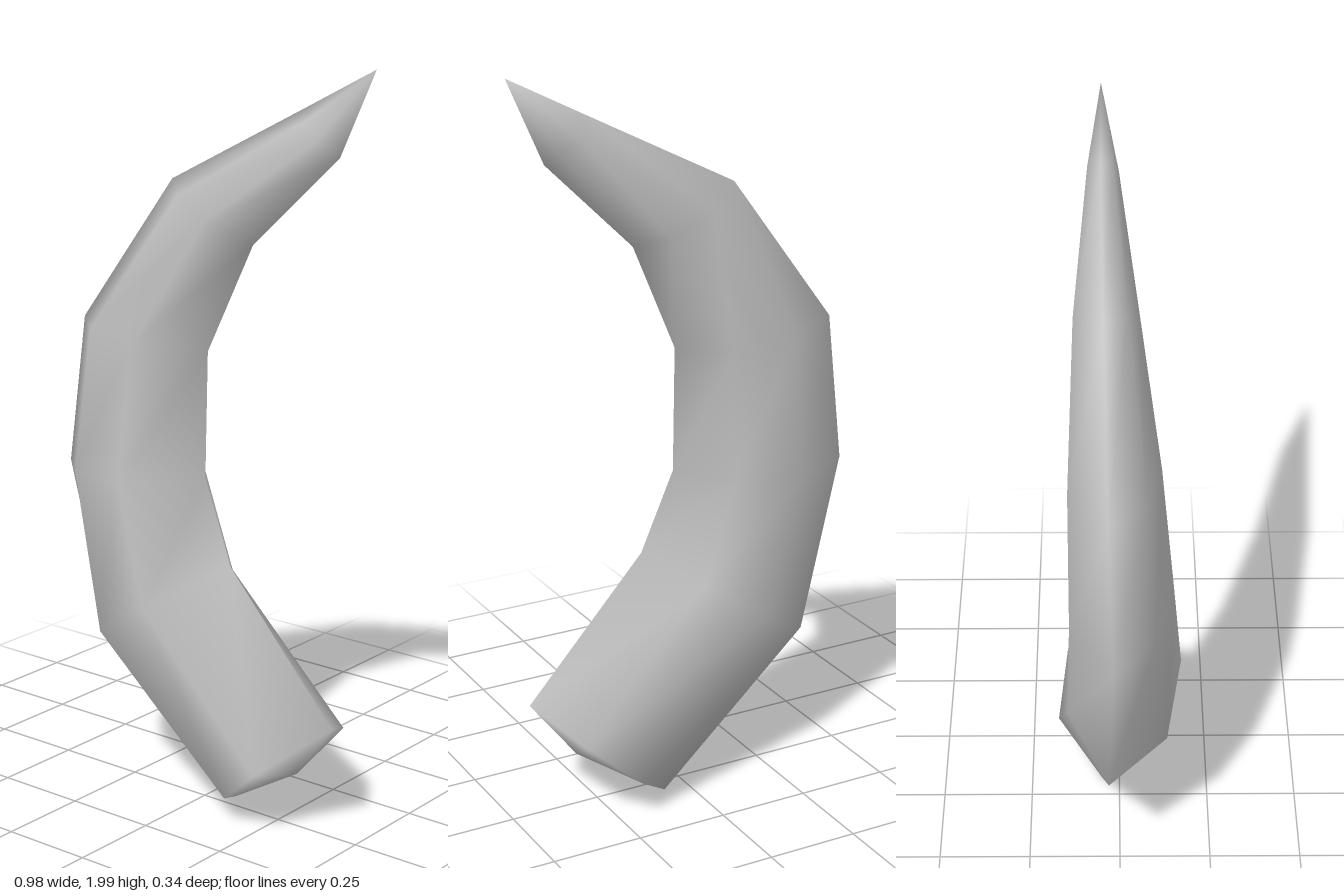
import * as THREE from 'three';

// Six-sided ring: how far each corner lies from the outer to the inner edge
const ACROSS = [0, 0.23, 0.62, 1, 0.77, 0.36];

// Each ring: outer edge (x, y), inner edge (x, y), then the z of its six corners
const RINGS = [
  { outer: [0.07, 0.01], inner: [0.435, 0.32], z: [-0.05, 0.11, 0.17, 0.02, -0.15, -0.175] },
  { outer: [-0.37, 0.39], inner: [0.10, 0.69], z: [-0.03, 0.125, 0.165, 0.02, -0.13, -0.14] },
  { outer: [-0.49, 0.87], inner: [0.01, 0.91], z: [-0.02, 0.09, 0.14, 0.01, -0.125, -0.13] },
  { outer: [-0.44, 1.28], inner: [0.01, 1.25], z: [-0.03, 0.065, 0.105, 0.0, -0.125, -0.13] },
  { outer: [-0.14, 1.68], inner: [0.14, 1.54], z: [-0.04, 0.02, 0.05, -0.02, -0.11, -0.115] },
  { outer: [0.28, 1.893], inner: [0.39, 1.78], z: [-0.045, -0.015, 0.0, -0.04, -0.08, -0.08] },
];
const BASE = [0.31, 0.157, 0];
const TIP = [0.49, 2.0, -0.045];

function hornGeometry() {
  const n = ACROSS.length;
  const positions = [];
  const index = [];
  for (const { outer, inner, z } of RINGS) {
    ACROSS.forEach((t, j) => positions.push(
      THREE.MathUtils.lerp(outer[0], inner[0], t),
      THREE.MathUtils.lerp(outer[1], inner[1], t),
      z[j],
    ));
  }
  positions.push(...BASE, ...TIP);
  const base = RINGS.length * n;
  const tip = base + 1;
  const last = (RINGS.length - 1) * n;
  for (let j = 0; j < n; j++) {
    const k = (j + 1) % n;
    // curved sides
    for (let r = 0; r < last; r += n) {
      index.push(r + j, r + k, r + n + k, r + j, r + n + k, r + n + j);
    }
    // shallow bulging base and pointed tip
    index.push(base, k, j, last + j, last + k, tip);
  }
  const geometry = new THREE.BufferGeometry();
  geometry.setAttribute('position', new THREE.Float32BufferAttribute(positions, 3));
  geometry.setIndex(index);
  geometry.computeVertexNormals();
  return geometry;
}

export function createModel() {
  const group = new THREE.Group();
  group.name = 'horn';
  const grey = new THREE.MeshStandardMaterial({ color: 0xc0c0c0 });
  grey.name = 'horn grey';
  const horn = new THREE.Mesh(hornGeometry(), grey);
  horn.name = 'curvedHorn';
  group.add(horn);
  return group;
}
